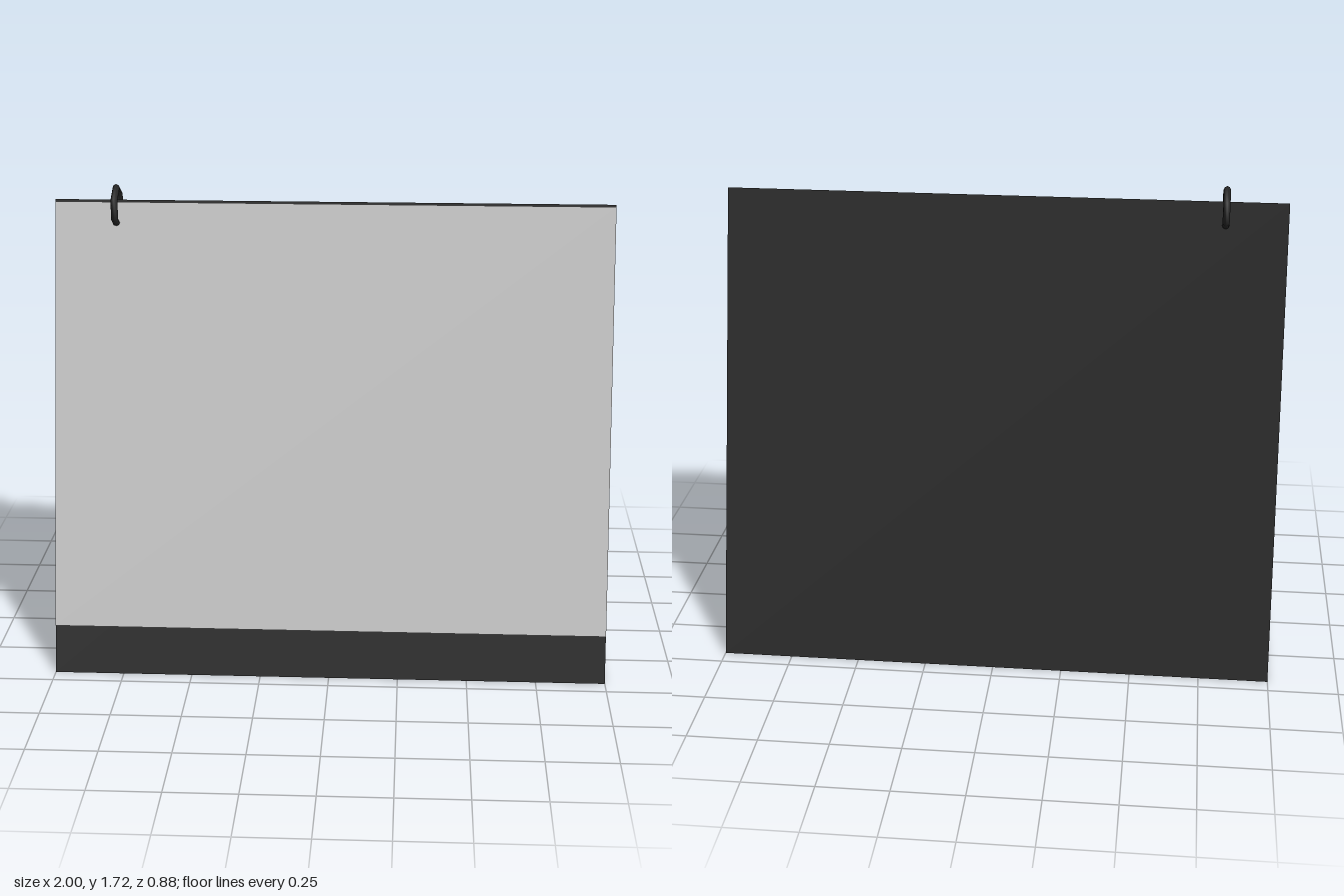
import * as THREE from 'three';

const WIDTH = 2, HALF_DEPTH = 0.44, APEX = 1.665;

// Extrude a side profile, given as [z, y] points, across the full width
function extrudeProfile(points, hole) {
  const toVec = ([z, y]) => new THREE.Vector2(z, y);
  const shape = new THREE.Shape(points.map(toVec));
  if (hole) shape.holes.push(new THREE.Path(hole.map(toVec)));
  const geo = new THREE.ExtrudeGeometry(shape, { depth: WIDTH, bevelEnabled: false });
  geo.rotateY(-Math.PI / 2);
  geo.translate(WIDTH / 2, 0, 0);
  return geo;
}

export function createModel() {
  const group = new THREE.Group();
  const black = new THREE.MeshStandardMaterial({ color: 0x242424 });
  black.name = 'black card';
  const grey = new THREE.MeshStandardMaterial({ color: 0xc4c4c4 });
  grey.name = 'light grey paper';

  const add = (name, geometry, material) => {
    const mesh = new THREE.Mesh(geometry, material);
    mesh.name = name;
    group.add(mesh);
    return mesh;
  };

  // Hollow triangular stand, walls thinning toward the ridge
  add('stand', extrudeProfile(
    [[-HALF_DEPTH, 0], [HALF_DEPTH, 0], [0, APEX]],
    [[-0.4, 0.035], [0, 1.61], [0.4, 0.035]],
  ), black);

  // Thin page lying on the front slope
  const slope = Math.hypot(HALF_DEPTH, APEX);
  const onSlope = (y, lift) => [
    HALF_DEPTH * (1 - y / APEX) + lift * APEX / slope,
    y + lift * HALF_DEPTH / slope,
  ];
  add('page', extrudeProfile([
    onSlope(0.168, 0), onSlope(0.168, 0.007), onSlope(1.657, 0.007), onSlope(1.657, 0),
  ]), grey);

  // Hexagonal binding ring threaded over the ridge
  const ringGeo = new THREE.TorusGeometry(0.069, 0.0125, 8, 6);
  ringGeo.rotateZ(Math.PI / 6);
  ringGeo.rotateY(Math.PI / 2);
  const ring = add('bindingRing', ringGeo, black);
  ring.position.set(-0.78, 1.64, 0);

  return group;
}
